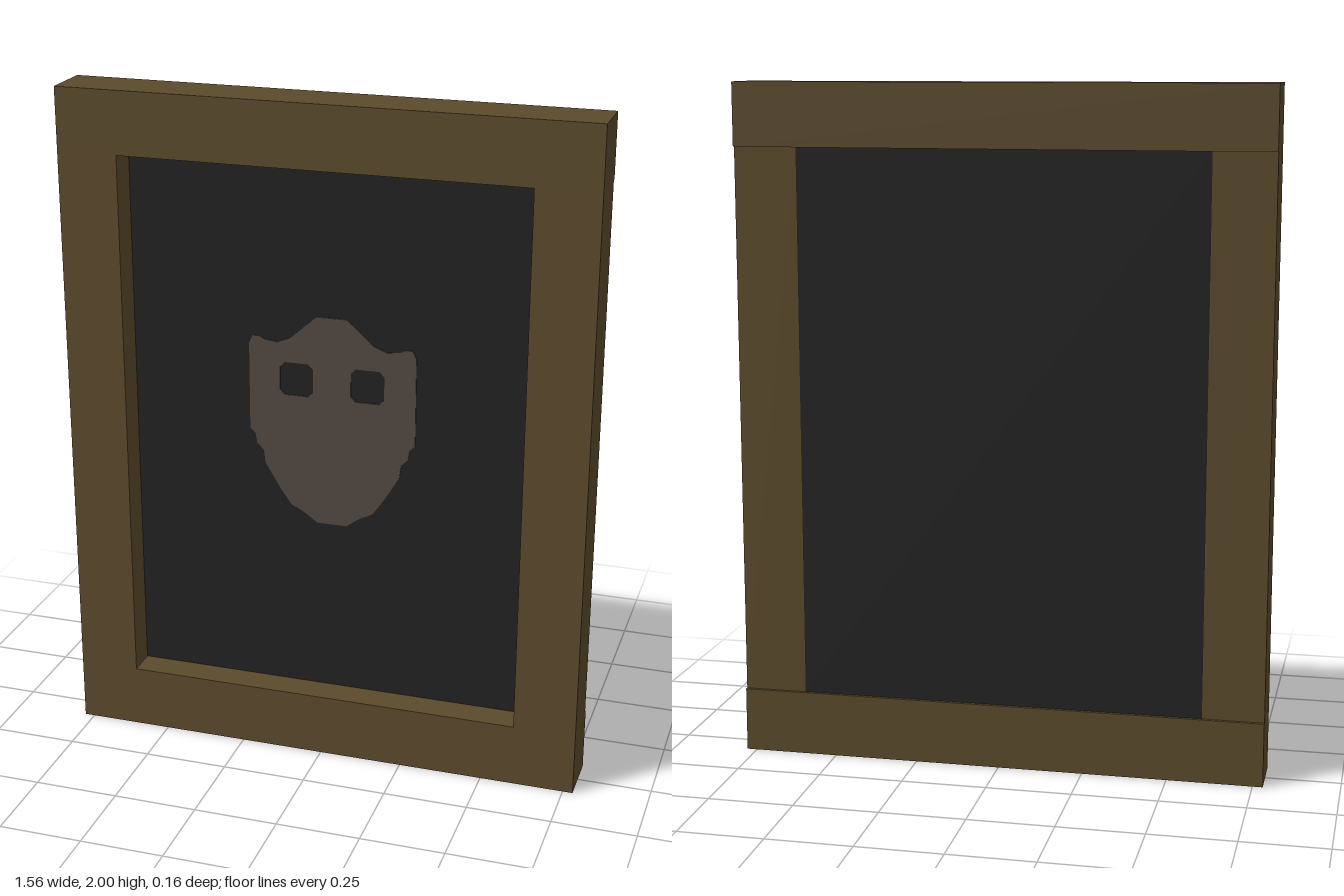
import * as THREE from 'three';

const frameWood = new THREE.MeshStandardMaterial({ color: 0x5b4a2c });
frameWood.name = 'frame wood';
const darkCanvas = new THREE.MeshStandardMaterial({ color: 0x222222 });
darkCanvas.name = 'dark canvas';
const paleMask = new THREE.MeshStandardMaterial({ color: 0x524840 });
paleMask.name = 'mask paint';

// Box given by its lower and upper limits on each axis
function box(name, material, [x0, x1], [y0, y1], [z0, z1]) {
  const mesh = new THREE.Mesh(new THREE.BoxGeometry(x1 - x0, y1 - y0, z1 - z0), material);
  mesh.position.set((x0 + x1) / 2, (y0 + y1) / 2, (z0 + z1) / 2);
  mesh.name = name;
  return mesh;
}

// Square eye opening with cut corners
function eyeHole(x, y, r = 0.05, c = 0.015) {
  return new THREE.Path([
    [-r + c, -r], [r - c, -r], [r, -r + c], [r, r - c],
    [r - c, r], [-r + c, r], [-r, r - c], [-r, -r + c],
  ].map(([dx, dy]) => new THREE.Vector2(x + dx, y + dy)));
}

export function createModel() {
  const model = new THREE.Group();
  model.name = 'framedPainting';

  // Frame: full-width rails, and stiles that stop slightly short at the back
  model.add(box('bottomRail', frameWood, [-0.78, 0.78], [0, 0.19], [-0.08, 0.08]));
  model.add(box('topRail', frameWood, [-0.78, 0.78], [1.815, 2], [-0.08, 0.08]));
  model.add(box('leftStile', frameWood, [0.595, 0.78], [0.19, 1.815], [-0.07, 0.08]));
  model.add(box('rightStile', frameWood, [-0.78, -0.6], [0.19, 1.815], [-0.07, 0.08]));

  // Recessed canvas, flush with the stiles at the back
  model.add(box('canvas', darkCanvas, [-0.6, 0.595], [0.19, 1.815], [-0.07, -0.01]));

  // Painted mask: half outline from crown to chin, mirrored about its middle
  const middle = 0.008;
  const half = [
    [0.045, 1.367], [0.082, 1.335], [0.125, 1.296], [0.165, 1.28], [0.205, 1.285],
    [0.218, 1.293], [0.24, 1.293], [0.251, 1.27], [0.251, 1.005], [0.235, 0.99],
    [0.23, 0.96], [0.21, 0.94], [0.205, 0.9], [0.187, 0.87], [0.16, 0.825],
    [0.125, 0.775], [0.085, 0.755], [0.045, 0.726],
  ];
  const outline = [...half, ...half.map(([x, y]) => [-x, y]).reverse()];
  const shape = new THREE.Shape(outline.map(([x, y]) => new THREE.Vector2(x + middle, y)));
  for (const side of [-1, 1]) shape.holes.push(eyeHole(middle + side * 0.107, 1.171));
  const mask = new THREE.Mesh(
    new THREE.ExtrudeGeometry(shape, { depth: 0.003, bevelEnabled: false }), paleMask);
  mask.position.z = -0.01;
  mask.name = 'paintedMask';
  model.add(mask);

  return model;
}
